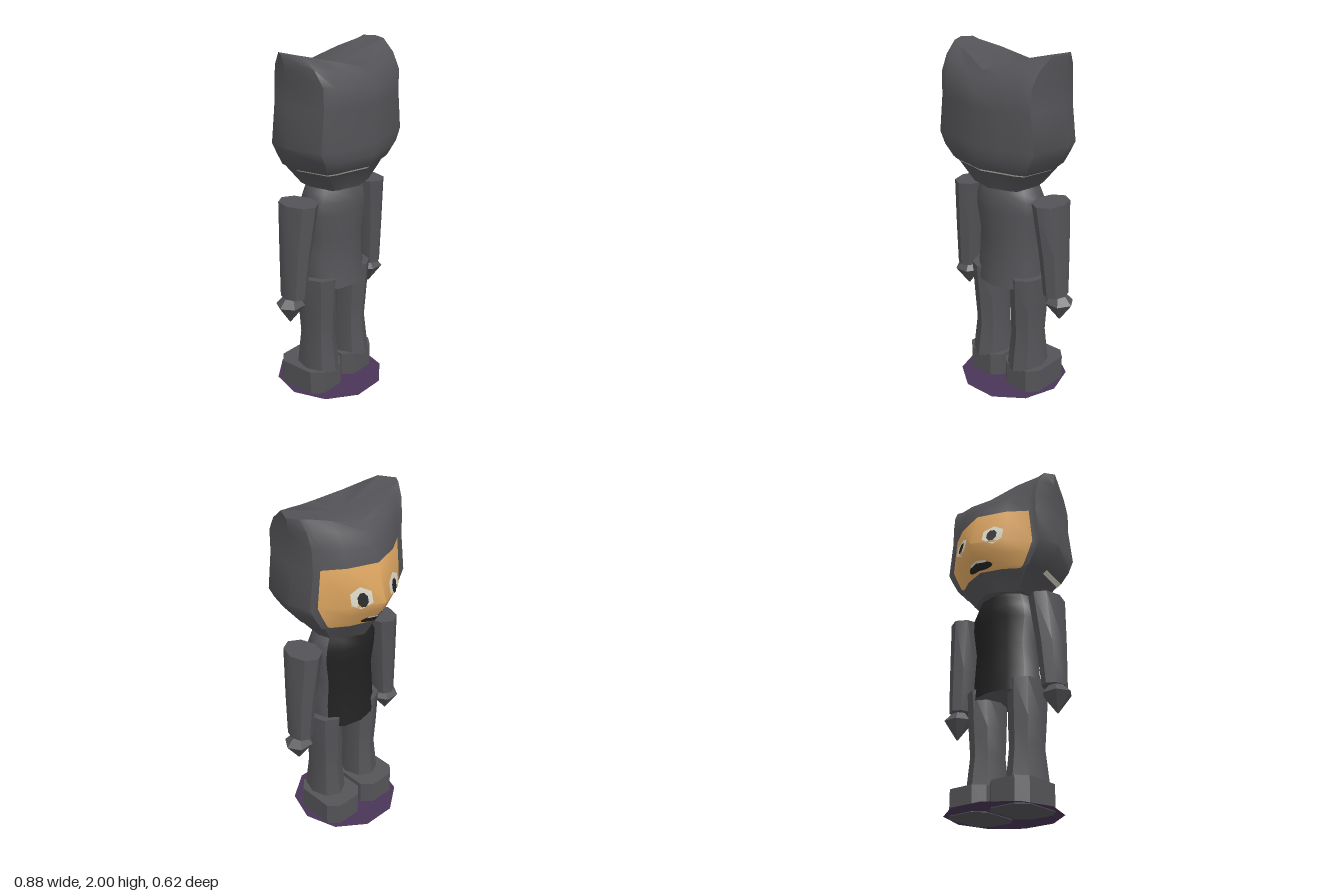
import * as THREE from 'three';
import { toCreasedNormals } from 'three/addons/utils/BufferGeometryUtils.js';

const material = (name, color, side = THREE.FrontSide) => {
  const m = new THREE.MeshStandardMaterial({ color, side });
  m.name = name;
  return m;
};

// Skin a stack of rings (bottom to top) and close both ends; pick(row, column) chooses a material
function loft(rings, materials, pick = () => 0, topCentre = null, crease = 0.75) {
  const n = rings[0].length;
  const points = rings.flat();
  const mean = ring => ring.reduce((s, p) => s.add(p), new THREE.Vector3()).divideScalar(n);
  points.push(mean(rings[0]), topCentre || mean(rings.at(-1)));
  const lists = materials.map(() => []);
  const last = (rings.length - 1) * n;
  for (let j = 0; j < n; j++) {
    const k = (j + 1) % n;
    for (let i = 0; i < rings.length - 1; i++) {
      const a = i * n + j, b = i * n + k;
      lists[pick(i, j)].push(a, a + n, b + n, a, b + n, b);
    }
    lists[0].push(last + n, j, k, last + n + 1, last + k, last + j);
  }
  const geo = new THREE.BufferGeometry().setFromPoints(points);
  geo.setIndex(lists.flat());
  let start = 0;
  lists.forEach((list, m) => {
    geo.addGroup(start, list.length, m);
    start += list.length;
  });
  return new THREE.Mesh(toCreasedNormals(geo, crease), materials);
}

// Oval ring: height, x centre, x radius, back z (+), front z (-)
const oval = (n, turn = 0) => ([y, cx, rx, zb, zf]) => Array.from({ length: n }, (_, j) => {
  const a = (j + turn) / n * Math.PI * 2;
  return new THREE.Vector3(cx + rx * Math.cos(a), y, (zb + zf) / 2 + (zb - zf) / 2 * Math.sin(a));
});

// Head rings: height, lift at the ears, width scale, face tip z, face side z, back scale, ear pinch
const HEAD = [
  [1.255, 0, 0.48, -0.155, -0.07, 0.68, 0],
  [1.365, 0, 0.71, -0.215, -0.115, 0.84, 0],
  [1.38, 0, 0.78, -0.225, -0.115, 0.9, 0],
  [1.45, 0, 0.9, -0.268, -0.115, 1, 0],
  [1.515, 0, 1, -0.31, -0.115, 1, 0],
  [1.725, 0, 0.925, -0.25, -0.115, 1, 0],
  [1.8, 0.05, 0.93, -0.22, -0.11, 0.99, 0],
  [1.865, 0.07, 0.96, -0.18, -0.09, 0.85, 0.1],
  [1.91, 0.09, 1, -0.13, -0.05, 0.78, 0.5],
];
const BACK = [[0.385, 0.02], [0.34, 0.23], [0.27, 0.258], [0.15, 0.28], [0, 0.312]];

function headRing([y, lift, sx, tip, side, sb, pinch]) {
  const half = [[0, tip], [0.18, side + (tip - side) * 0.56], [0.3, side], [0.345, side * 0.93],
    ...BACK.map(([x, z]) => [x, z * sb * (1 - pinch * x / 0.385)])];
  const right = half.map(([x, z]) =>
    new THREE.Vector3(x * sx, y + lift * Math.min(1, x / 0.345), z));
  const left = right.slice(1, -1).reverse().map(p => new THREE.Vector3(-p.x, p.y, p.z));
  return [...right, ...left];
}

// Depth of the face surface at a point
function faceZ(x, y) {
  let i = 1;
  while (i < 4 && HEAD[i + 1][0] < y) i++;
  const t = (y - HEAD[i][0]) / (HEAD[i + 1][0] - HEAD[i][0]);
  const [, , sx, tip, side] = HEAD[i].map((v, k) => v + (HEAD[i + 1][k] - v) * t);
  const u = Math.abs(x) / sx;
  const f = u < 0.18 ? 1 - 0.44 * u / 0.18 : 0.56 * (1 - (u - 0.18) / 0.12);
  return side + (tip - side) * f;
}

// Lay a flat outline onto the face
function facePatch(name, geo, x, y, mat, offset) {
  geo.rotateY(Math.PI).translate(x, y, 0);
  const p = geo.attributes.position;
  for (let i = 0; i < p.count; i++) p.setZ(i, faceZ(p.getX(i), p.getY(i)) - offset);
  geo.computeVertexNormals();
  const mesh = new THREE.Mesh(geo, mat);
  mesh.name = name;
  return mesh;
}

export function createModel() {
  const grey = material('suit grey', 0x545458);
  const black = material('shirt black', 0x222222);
  const tan = material('skin tan', 0xe0a862);
  const cream = material('eye cream', 0xd9d5c5);
  const purple = material('base purple', 0x4a3558, THREE.DoubleSide);
  const model = new THREE.Group();
  const add = (name, mesh) => {
    mesh.name = name;
    model.add(mesh);
  };

  // Hooded head with pointed ears, face opening and a thin lining at the nape
  add('hoodedHead', loft(HEAD.map(headRing), [grey, tan, cream], (row, col) => {
    const front = col < 2 || col > 13;
    if (front && row >= 1 && row <= 4) return 1;
    return row === 1 && col > 3 && col < 12 ? 2 : 0;
  }, new THREE.Vector3(0, 1.91, 0.04), 0.8));

  // Eyes and mouth
  for (const s of [1, -1]) {
    const eye = new THREE.CircleGeometry(1, 6, Math.PI / 6).scale(0.062, 0.062, 1);
    model.add(facePatch('eye', eye, s * 0.118, 1.56, cream, 0.006));
    const pupil = new THREE.CircleGeometry(1, 8, Math.PI / 8).scale(0.028, 0.04, 1);
    model.add(facePatch('pupil', pupil, s * 0.115, 1.553, black, 0.01));
  }
  const mouth = new THREE.CircleGeometry(1, 16).scale(0.085, 0.024, 1);
  model.add(facePatch('mouth', mouth, 0, 1.397, black, 0.006));
  model.add(facePatch('teeth', new THREE.PlaneGeometry(0.11, 0.012, 8, 1), 0, 1.416, cream, 0.009));

  // Torso with a dark shirt front
  const torso = [
    [0.655, 0, 0.21, 0.19, -0.135], [0.8, 0, 0.205, 0.165, -0.115], [0.95, 0, 0.192, 0.17, -0.115],
    [1.1, 0, 0.215, 0.182, -0.125], [1.17, 0, 0.212, 0.182, -0.13], [1.22, 0, 0.19, 0.17, -0.115],
    [1.27, 0, 0.165, 0.15, -0.1],
  ].map(oval(12));
  add('torso', loft(torso, [grey, black], (row, col) => (col >= 7 && col <= 10 ? 1 : 0)));

  // Limbs, mirrored
  for (const s of [1, -1]) {
    const side = s > 0 ? 'left' : 'right';
    const arm = loft([
      [0.65, s * 0.333, 0.064, 0.1, -0.06], [0.9, s * 0.318, 0.075, 0.12, -0.075],
      [1.195, s * 0.29, 0.09, 0.15, -0.1],
    ].map(oval(8)), [grey]);
    add(side + 'Arm', arm);

    const hand = loft([
      [0.495, s * 0.355, 0.004, 0.015, 0.007], [0.603, s * 0.352, 0.086, 0.095, -0.068],
      [0.66, s * 0.345, 0.035, 0.045, -0.02],
    ].map(oval(6)), [grey]);
    add(side + 'Hand', hand);

    const leg = loft([
      [0.13, s * 0.138, 0.108, 0.165, -0.105], [0.35, s * 0.137, 0.09, 0.135, -0.08],
      [0.5, s * 0.14, 0.097, 0.145, -0.09], [0.72, s * 0.146, 0.1, 0.16, -0.1],
    ].map(oval(8)), [grey]);
    add(side + 'Leg', leg);

    // Shoe with clipped corners
    const w = 0.13, c = 0.055, zb = 0.14, zf = -0.185;
    const sole = new THREE.Shape([
      [-w + c, zf], [w - c, zf], [w, zf + c], [w, zb - c], [w - c, zb], [-w + c, zb], [-w, zb - c], [-w, zf + c],
    ].map(([x, z]) => new THREE.Vector2(x, -z)));
    const shoe = new THREE.ExtrudeGeometry(sole, { depth: 0.145, bevelEnabled: false });
    shoe.rotateX(-Math.PI / 2).translate(s * 0.141, 0, 0);
    add(side + 'Shoe', new THREE.Mesh(shoe, grey));
  }

  // Flat standing disc
  const disc = new THREE.CircleGeometry(0.32, 10).rotateX(-Math.PI / 2).translate(0, 0.004, 0);
  add('baseDisc', new THREE.Mesh(disc, purple));
  return model;
}
